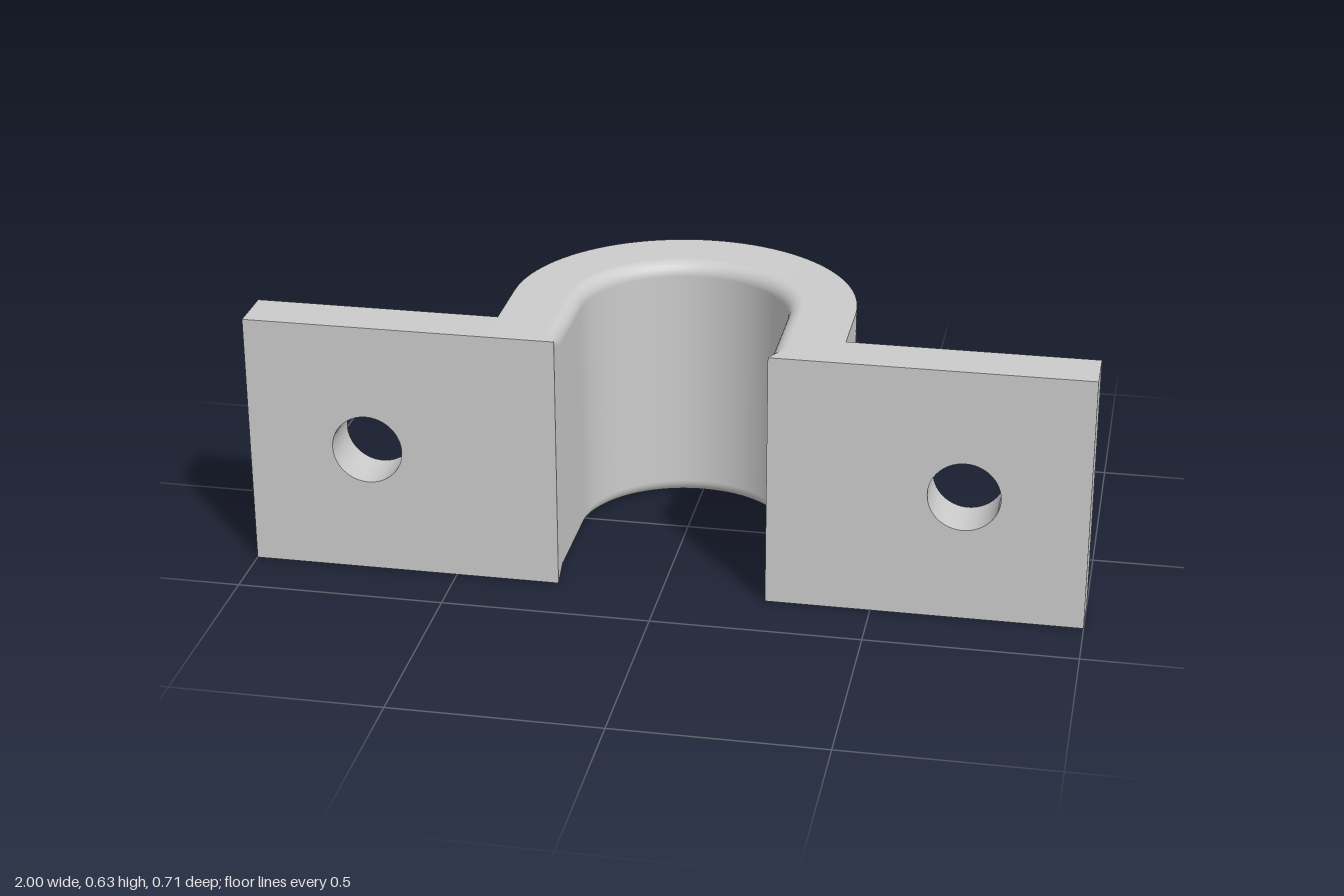
import * as THREE from 'three';

const H = 0.627;        // height
const R_IN = 0.25;      // inner radius of the saddle
const R_OUT = 0.413;    // outer radius of the saddle
const Z_ARC = 0.06;     // centre of the arc
const Z_FRONT = 0.353;  // mounting face
const Z_BACK = 0.229;   // rear face of the ears
const FILLET = 0.035;   // softened inner rim

// Stations along the U: left arm, half circle, right arm
function makeStations() {
  const arm = [[Z_FRONT, 0.001], [0.3, FILLET], [0.18, FILLET]];
  const stations = arm.map(([z, f]) => ({ nx: 1, nz: 0, z, f }));
  const n = 48;
  for (let i = 0; i <= n; i++) {
    const a = (Math.PI * i) / n;
    stations.push({ nx: Math.cos(a), nz: -Math.sin(a), z: Z_ARC, f: FILLET });
  }
  for (const [z, f] of [...arm].reverse()) stations.push({ nx: -1, nz: 0, z, f });
  return stations;
}

// Sweep a [radius, height] profile along the stations
function sweep(profile) {
  const stations = makeStations();
  const positions = [];
  const index = [];
  let count = 0;
  for (const s of stations) {
    const points = profile(s.f);
    count = points.length;
    for (const [r, y] of points) positions.push(s.nx * r, y, s.z + s.nz * r);
  }
  for (let i = 0; i < stations.length - 1; i++) {
    for (let j = 0; j < count - 1; j++) {
      const a = i * count + j;
      const b = a + count;
      index.push(a, b, a + 1, b, b + 1, a + 1);
    }
  }
  const geometry = new THREE.BufferGeometry();
  geometry.setAttribute('position', new THREE.Float32BufferAttribute(positions, 3));
  geometry.setIndex(index);
  geometry.computeVertexNormals();
  return geometry;
}

// Top face, rounded rim, bore, rounded rim, bottom face
function innerProfile(f) {
  const points = [[R_OUT, H]];
  const steps = 6;
  for (let k = 0; k <= steps; k++) {
    const a = (Math.PI / 2) * (k / steps);
    points.push([R_IN + f - f * Math.sin(a), H - f + f * Math.cos(a)]);
  }
  for (let k = steps; k >= 0; k--) {
    const a = (Math.PI / 2) * (k / steps);
    points.push([R_IN + f - f * Math.sin(a), f - f * Math.cos(a)]);
  }
  points.push([R_OUT, 0]);
  return points;
}

// Flat ear with a round bolt hole
function earGeometry(side) {
  const x0 = side > 0 ? R_OUT : -1;
  const x1 = side > 0 ? 1 : -R_OUT;
  const shape = new THREE.Shape();
  shape.moveTo(x0, 0);
  shape.lineTo(x1, 0);
  shape.lineTo(x1, H);
  shape.lineTo(x0, H);
  shape.closePath();
  const hole = new THREE.Path();
  hole.absarc(side * 0.71, H / 2, 0.085, 0, Math.PI * 2, true);
  shape.holes.push(hole);
  const geometry = new THREE.ExtrudeGeometry(shape, {
    depth: Z_FRONT - Z_BACK, bevelEnabled: false, curveSegments: 32,
  });
  return geometry.translate(0, 0, Z_BACK);
}

export function createModel() {
  const group = new THREE.Group();
  group.name = 'pipeClamp';
  const material = new THREE.MeshStandardMaterial({ color: 0xcccccc });
  const add = (name, geometry) => {
    const mesh = new THREE.Mesh(geometry, material);
    mesh.name = name;
    group.add(mesh);
    return mesh;
  };

  // Curved saddle
  add('saddleOuterWall', sweep(() => [[R_OUT, 0], [R_OUT, H]]));
  add('saddleBoreAndRims', sweep(innerProfile));

  // Mounting ears and the flat front ends of the saddle arms
  for (const side of [1, -1]) {
    const label = side > 0 ? 'left' : 'right';
    add(label + 'Ear', earGeometry(side));
    const end = add(label + 'ArmEnd', new THREE.PlaneGeometry(R_OUT - R_IN, H));
    end.position.set((side * (R_OUT + R_IN)) / 2, H / 2, Z_FRONT);
  }
  return group;
}
